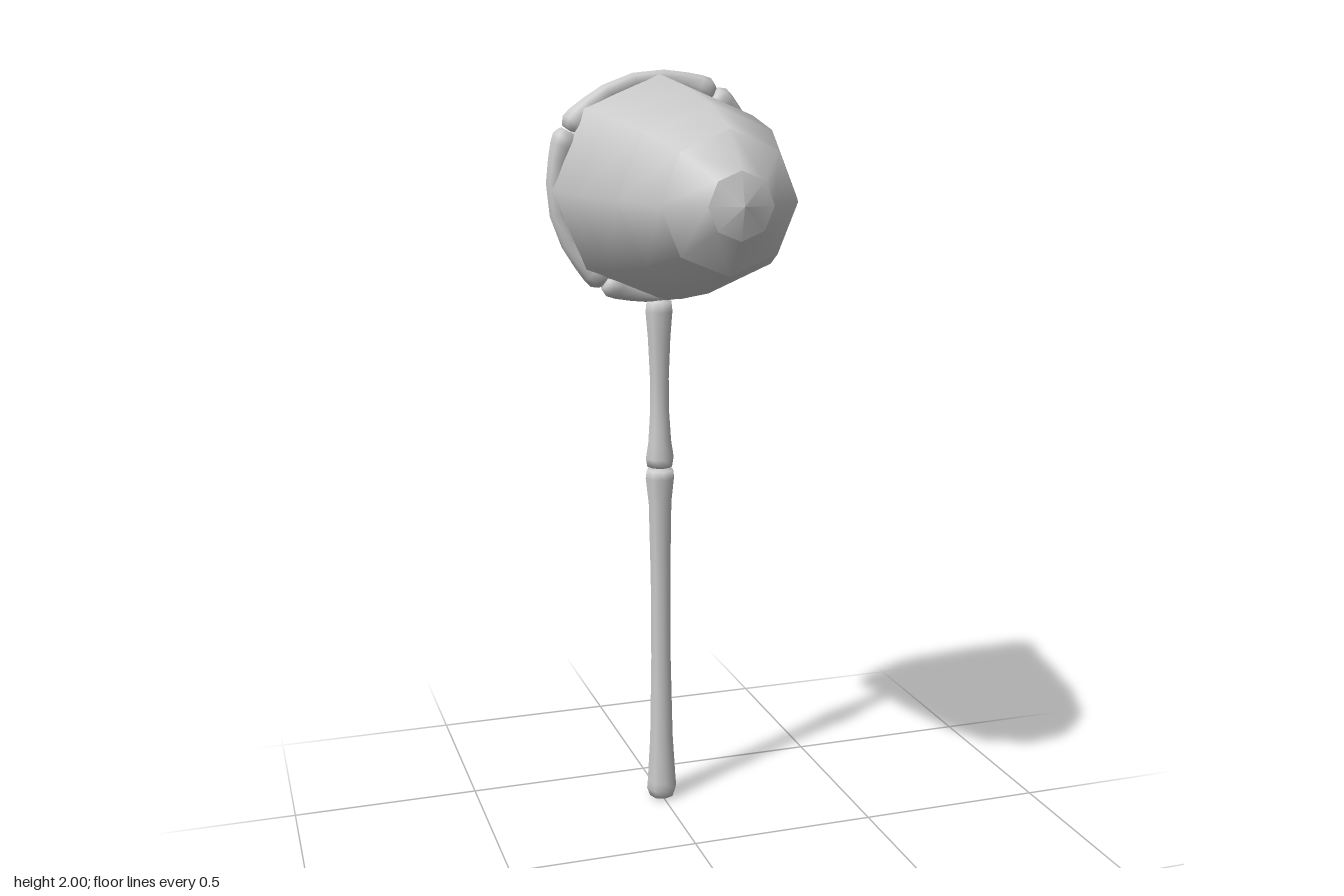
import * as THREE from 'three';
import { mergeVertices } from 'three/addons/utils/BufferGeometryUtils.js';

const SIDES = 8;
const AXIS_Z = -0.311;
const HOOP_Y = 1.7;
const HOOP_R = 0.272;

const material = new THREE.MeshStandardMaterial({ color: 0xcccccc });
const netMaterial = new THREE.MeshStandardMaterial({ color: 0xcccccc, side: THREE.DoubleSide });

// Turned solid from [radius, height] pairs, lowest first
const turned = (profile) =>
  new THREE.LatheGeometry(profile.map(([r, y]) => new THREE.Vector2(r, y)), SIDES);

function addMesh(parent, name, geometry, mat = material) {
  const mesh = new THREE.Mesh(geometry, mat);
  mesh.name = name;
  parent.add(mesh);
  return mesh;
}

// Cane segment curved round the hoop; profile heights are fractions of its arc
function hoopSegment(startAngle, arc) {
  const geometry = turned([
    [0, 0.004], [0.027, 0.008], [0.037, 0.05], [0.034, 0.1], [0.027, 0.19], [0.024, 0.32],
    [0.023, 0.5], [0.024, 0.68], [0.027, 0.81], [0.034, 0.9], [0.037, 0.95], [0.027, 0.992], [0, 0.996],
  ]);
  const p = geometry.attributes.position;
  for (let i = 0; i < p.count; i++) {
    const angle = startAngle + p.getY(i) * arc;
    const r = HOOP_R + p.getX(i);
    p.setXYZ(i, r * Math.cos(angle), r * Math.sin(angle), p.getZ(i));
  }
  geometry.deleteAttribute('normal');
  geometry.deleteAttribute('uv');
  const merged = mergeVertices(geometry);
  merged.computeVertexNormals();
  return merged;
}

export function createModel() {
  const model = new THREE.Group();
  model.name = 'caneNet';

  // Handle: two cane segments meeting at a pinched joint
  const handle = new THREE.Group();
  handle.name = 'handle';
  handle.position.z = AXIS_Z;
  model.add(handle);
  addMesh(handle, 'lowerCane', turned([
    [0, 0], [0.034, 0.004], [0.043, 0.028], [0.041, 0.05], [0.033, 0.18], [0.028, 0.42],
    [0.028, 0.65], [0.032, 0.86], [0.04, 0.93], [0.037, 0.952], [0, 0.957],
  ]));
  addMesh(handle, 'upperCane', turned([
    [0, 0.957], [0.035, 0.962], [0.039, 0.985], [0.032, 1.03], [0.026, 1.12], [0.026, 1.2],
    [0.031, 1.31], [0.037, 1.38], [0.034, 1.407], [0, 1.412],
  ]));

  // Hoop: four curved cane segments
  const hoop = new THREE.Group();
  hoop.name = 'hoop';
  hoop.position.set(0, HOOP_Y, AXIS_Z);
  model.add(hoop);
  for (let i = 0; i < 4; i++) {
    const start = THREE.MathUtils.degToRad(58) + (i * Math.PI) / 2;
    addMesh(hoop, 'hoopSegment', hoopSegment(start, Math.PI / 2));
  }

  // Net: tapering bands with a crisp fold between each, closed at the front
  const net = new THREE.Group();
  net.name = 'net';
  net.position.y = HOOP_Y;
  net.rotation.x = Math.PI / 2;
  model.add(net);
  const rings = [
    [0.287, -0.315], [0.262, -0.115], [0.221, 0.1], [0.165, 0.25], [0.078, 0.33], [0, 0.352],
  ];
  for (let i = 0; i < rings.length - 1; i++) {
    addMesh(net, 'netBand', turned([rings[i], rings[i + 1]]), netMaterial);
  }

  return model;
}
